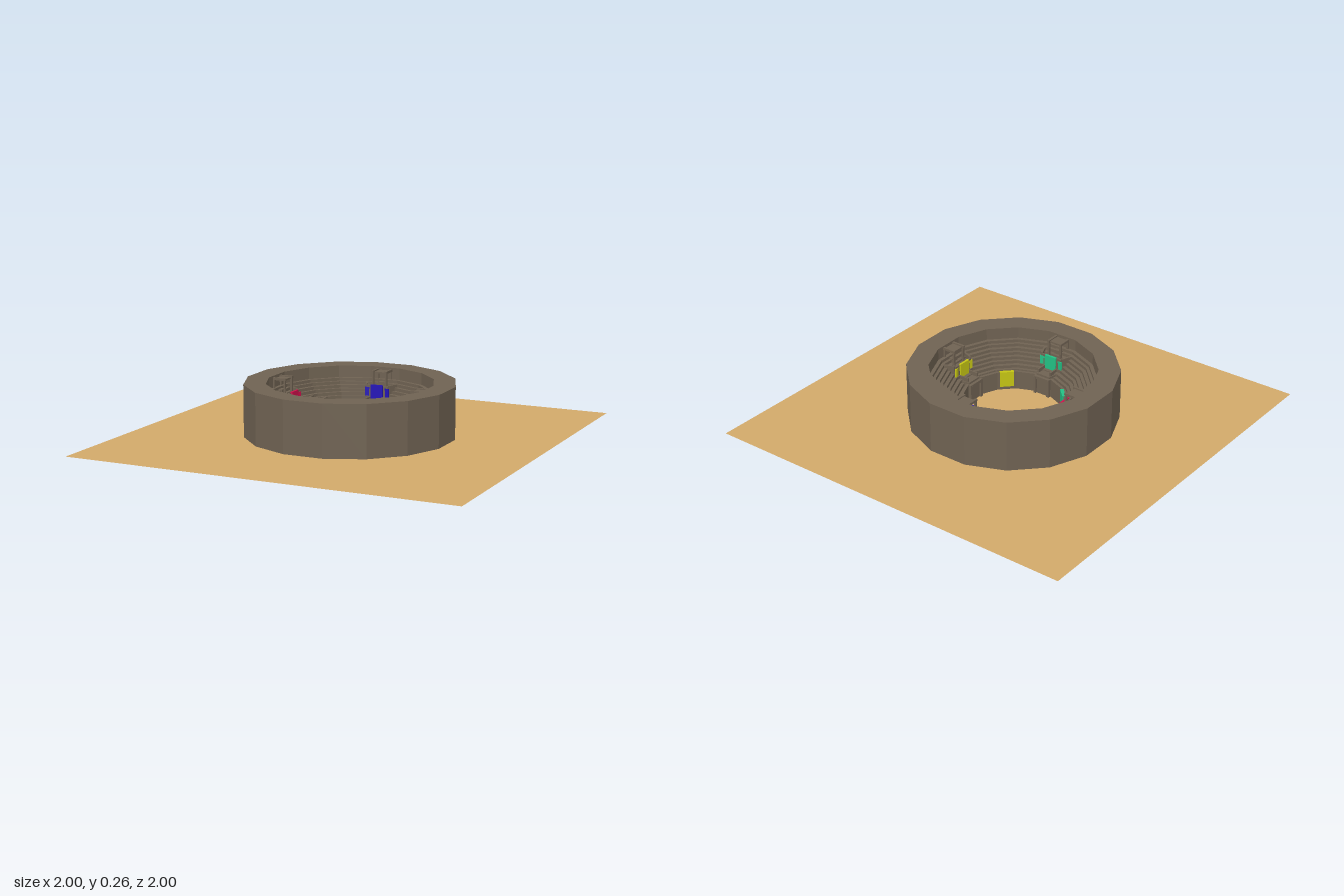
import * as THREE from 'three';

const SIDES = 16;
const material = (color, side = THREE.FrontSide) =>
  new THREE.MeshStandardMaterial({ color, flatShading: true, side });
const stone = material(0x6f6252);
const sand = material(0xd2a96a, THREE.DoubleSide);

function add(parent, name, geometry, mat, x = 0, y = 0, z = 0) {
  const mesh = new THREE.Mesh(geometry, mat);
  mesh.name = name;
  mesh.position.set(x, y, z);
  parent.add(mesh);
  return mesh;
}

// Box given by its centre x and z, its bottom and its size
const block = (parent, name, x, bottom, z, w, h, d, mat = stone) =>
  add(parent, name, new THREE.BoxGeometry(w, h, d), mat, x, bottom + h / 2, z);

// Wedge widening outward (toward -z), standing on y = bottom
function wedge(parent, name, near, nearHalf, far, farHalf, bottom, height) {
  const shape = new THREE.Shape([
    new THREE.Vector2(-nearHalf, near), new THREE.Vector2(nearHalf, near),
    new THREE.Vector2(farHalf, far), new THREE.Vector2(-farHalf, far),
  ]);
  const geometry = new THREE.ExtrudeGeometry(shape, { depth: height, bevelEnabled: false });
  geometry.rotateX(-Math.PI / 2);
  return add(parent, name, geometry, stone, 0, bottom, 0);
}

// Ring wall with stepped seating, one closed profile turned in 16 sides
function createStands() {
  const profile = [[0.527, 0], [0.527, 0.265], [0.417, 0.265], [0.417, 0.205]];
  const tiers = 4, inner = 0.277, run = 0.035, rise = 0.03;
  for (let i = tiers - 1; i >= 0; i--) {
    const r = inner + i * run, y = 0.085 + (i + 1) * rise;
    profile.push([r + 0.016, y], [r + 0.016, y - rise / 2], [r, y - rise / 2], [r, y - rise]);
  }
  // low parapet around the pit
  profile.push([0.265, 0.085], [0.265, 0.1], [0.25, 0.1], [0.25, 0], [0.527, 0]);
  return new THREE.LatheGeometry(
    profile.map(([r, y]) => new THREE.Vector2(r, y)), SIDES, Math.PI / SIDES);
}

// Canopied box with its gate below, on the -z side
function createBox(cloth) {
  const box = new THREE.Group();
  box.name = 'spectatorBox';
  wedge(box, 'platform', 0.312, 0.06, 0.415, 0.1, 0.08, 0.085);
  wedge(box, 'gateRoof', 0.245, 0.04, 0.32, 0.055, 0.08, 0.03);

  // balcony front and its hangings
  block(box, 'balconyFront', 0, 0.16, -0.318, 0.12, 0.025, 0.01);
  block(box, 'frontBanner', 0, 0.115, -0.311, 0.066, 0.075, 0.012, cloth);
  for (const s of [-1, 1]) {
    const wing = block(box, 'sideBanner', s * 0.053, 0.13, -0.314, 0.026, 0.045, 0.008, cloth);
    wing.rotation.y = -s * 0.25;

    // side walls, canopy posts and rails
    const wall = block(box, 'sideWall', s * 0.08, 0.16, -0.366, 0.01, 0.03, 0.1);
    wall.rotation.y = -s * 0.37;
    block(box, 'canopyPost', s * 0.036, 0.16, -0.345, 0.01, 0.09, 0.01);
    block(box, 'canopyPost', s * 0.036, 0.16, -0.405, 0.01, 0.09, 0.01);
    block(box, 'canopyRail', s * 0.036, 0.245, -0.375, 0.012, 0.012, 0.075);
    block(box, 'gatePost', s * 0.04, 0, -0.24, 0.014, 0.095, 0.022);
    block(box, 'stairRail', s * 0.036, 0.105, -0.285, 0.008, 0.025, 0.06);
  }
  block(box, 'canopyRoof', 0, 0.243, -0.376, 0.066, 0.008, 0.06);
  block(box, 'seat', 0, 0.165, -0.385, 0.04, 0.03, 0.03);
  block(box, 'gateLintel', 0, 0.085, -0.24, 0.094, 0.015, 0.02);
  block(box, 'gateDoor', 0, 0, -0.244, 0.07, 0.085, 0.01);
  return box;
}

export function createModel() {
  const model = new THREE.Group();
  model.name = 'arena';

  const ground = new THREE.PlaneGeometry(2, 2).rotateX(-Math.PI / 2);
  add(model, 'sandGround', ground, sand, 0, 0.002, 0);
  add(model, 'stands', createStands(), stone);
  const mark = new THREE.CircleGeometry(0.008, 3).rotateX(-Math.PI / 2);
  add(model, 'centreMark', mark, stone, 0, 0.004, 0);

  // four quarters: back, left, front, right
  [0x2414b8, 0xc4c414, 0x24c084, 0xd0104c].forEach((color, i) => {
    const cloth = material(color);
    const quarter = new THREE.Group();
    quarter.name = 'quarter';
    quarter.rotation.y = -i * Math.PI / 2;
    quarter.add(createBox(cloth));

    // banner on the pit wall, an eighth turn further round
    const hanging = new THREE.Group();
    hanging.name = 'pitBannerGroup';
    hanging.rotation.y = -Math.PI / 4;
    block(hanging, 'pitBanner', 0, 0.02, -0.244, 0.072, 0.075, 0.01, cloth);
    block(hanging, 'pitBannerTop', 0, 0.095, -0.248, 0.072, 0.008, 0.018, cloth);
    quarter.add(hanging);
    model.add(quarter);
  });
  return model;
}
